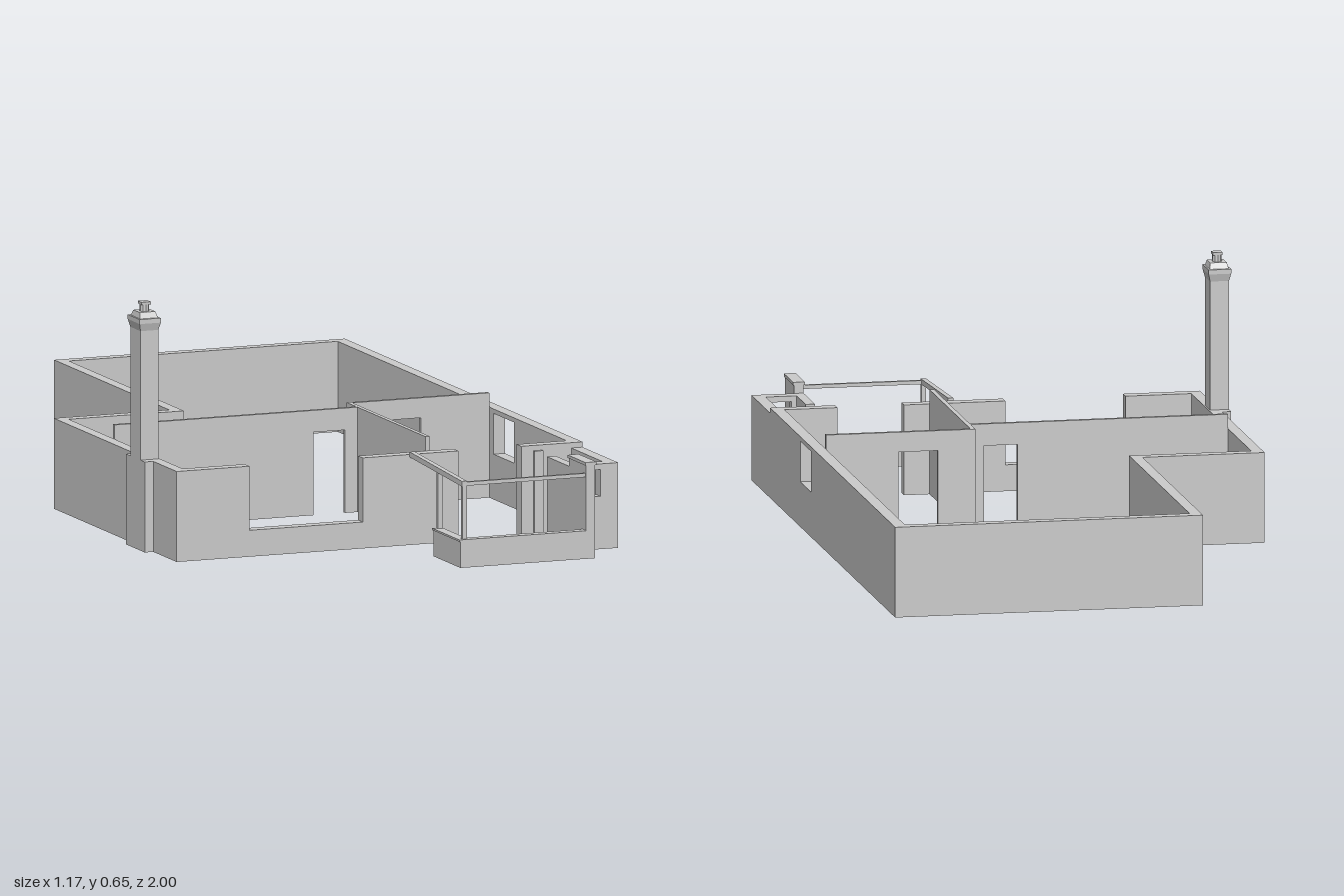
import * as THREE from 'three';

const material = new THREE.MeshStandardMaterial({ color: 0xcccccc, flatShading: true });

// Box given by its limits on each axis
function box(name, x0, x1, y0, y1, z0, z1) {
  const mesh = new THREE.Mesh(new THREE.BoxGeometry(x1 - x0, y1 - y0, z1 - z0), material);
  mesh.position.set((x0 + x1) / 2, (y0 + y1) / 2, (z0 + z1) / 2);
  mesh.name = name;
  return mesh;
}

// Upright wall from an outline (along, height), extruded from "start" by "depth"
function wall(name, outline, holes, start, depth, alongZ = false) {
  const toPoints = (list) => list.map(([a, b]) => new THREE.Vector2(alongZ ? -a : a, b));
  const shape = new THREE.Shape(toPoints(outline));
  for (const [a0, a1, b0, b1] of holes)
    shape.holes.push(new THREE.Path(toPoints([[a0, b0], [a0, b1], [a1, b1], [a1, b0]])));
  const geometry = new THREE.ExtrudeGeometry(shape, { depth, bevelEnabled: false });
  geometry.translate(0, 0, start);
  if (alongZ) geometry.rotateY(Math.PI / 2);
  const mesh = new THREE.Mesh(geometry, material);
  mesh.name = name;
  return mesh;
}

const rect = (a0, a1, h) => [[a0, 0], [a1, 0], [a1, h], [a0, h]];
// Wall outline with a doorway cut up from the floor
const doorway = (a0, a1, h, d0, d1, top) =>
  [[a0, 0], [d0, 0], [d0, top], [d1, top], [d1, 0], [a1, 0], [a1, h], [a0, h]];

// Straight beam of square section between two points
function beam(name, from, to, size) {
  const a = new THREE.Vector3(...from), b = new THREE.Vector3(...to);
  const mesh = new THREE.Mesh(new THREE.BoxGeometry(size, size, a.distanceTo(b)), material);
  mesh.position.copy(a).lerp(b, 0.5);
  mesh.lookAt(b);
  mesh.name = name;
  return mesh;
}

// Square frustum: bottom and top sizes in x and z
function taper(name, x, z, y0, y1, [w0, d0], [w1, d1]) {
  const geometry = new THREE.BoxGeometry(1, y1 - y0, 1);
  const p = geometry.attributes.position;
  for (let i = 0; i < p.count; i++) {
    const top = p.getY(i) > 0;
    p.setX(i, p.getX(i) * (top ? w1 : w0));
    p.setZ(i, p.getZ(i) * (top ? d1 : d0));
  }
  geometry.computeVertexNormals();
  const mesh = new THREE.Mesh(geometry, material);
  mesh.position.set(x, (y0 + y1) / 2, z);
  mesh.name = name;
  return mesh;
}

function createOuterWalls() {
  const group = new THREE.Group();
  group.name = 'outerWalls';
  const h = 0.24;
  group.add(
    box('backWall', -0.235, 0.585, 0, h, -1, -0.97),
    box('rearRightWall', -0.235, -0.205, 0, h, -0.97, -0.18),
    box('stepWall', -0.56, -0.235, 0, h, -0.21, -0.18),
    box('rightWall', -0.56, -0.53, 0, h, -0.18, 0.602),
    // long left wall with its window
    wall('leftWall', rect(-0.97, 0.602, h), [[0.1, 0.24, 0.12, 0.228]], 0.553, 0.032, true),
    // front wall with the wide low opening
    wall('frontWall', [[-0.56, 0], [0.235, 0], [0.235, h], [-0.035, h], [-0.035, 0.07],
      [-0.355, 0.07], [-0.355, h], [-0.56, h]], [], 0.602, 0.033),
    box('frontWallLeft', 0.412, 0.585, 0, h, 0.602, 0.635),
  );
  return group;
}

function createPartitions() {
  const group = new THREE.Group();
  group.name = 'partitions';
  const h = 0.278;
  group.add(
    wall('roomPartition', doorway(-0.53, 0.155, h, 0.03, 0.12, 0.22), [], 0.124, 0.012),
    box('middlePartition', 0.155, 0.167, 0, h, 0.072, 0.602),
    wall('hallPartition', doorway(0.155, 0.553, h, 0.255, 0.36, 0.225), [], 0.06, 0.012),
  );
  return group;
}

function createPorch() {
  const group = new THREE.Group();
  group.name = 'porch';
  const h = 0.226;
  group.add(
    // low parapet with a thin coping
    box('parapetFront', 0.092, 0.446, 0, 0.07, 0.978, 0.997),
    box('parapetSide', 0.092, 0.112, 0, 0.07, 0.812, 0.978),
    box('copingFront', 0.088, 0.446, 0.07, 0.075, 0.975, 1),
    box('copingSide', 0.088, 0.115, 0.07, 0.075, 0.812, 0.975),
    // side wall and tall end pier
    box('sideWall', 0.446, 0.471, 0, h, 0.73, 0.88),
    box('endPier', 0.446, 0.471, 0, 0.248, 0.88, 0.998),
    box('pierCap', 0.443, 0.474, 0.248, 0.256, 0.878, 1),
    // small annex beside the porch
    wall('annexFront', rect(0.471, 0.585, h), [[0.485, 0.535, 0.14, 0.211]], 0.847, 0.033),
    box('annexSide', 0.553, 0.585, 0, h, 0.635, 0.847),
    box('doorJamb', 0.446, 0.471, 0, h, 0.635, 0.643),
    // open timber frame
    beam('frontRail', [0.1, 0.221, 0.988], [0.446, 0.221, 0.988], 0.01),
    beam('slopingBeam', [0.104, 0.222, 0.994], [0.104, 0.24, 0.635], 0.014),
  );
  for (const z of [0.988, 0.82])
    group.add(box('post', 0.099, 0.111, 0.075, 0.224, z - 0.006, z + 0.006));
  return group;
}

function createChimney() {
  const group = new THREE.Group();
  group.name = 'chimney';
  const x = -0.559, z = 0.41;
  const pot = new THREE.Mesh(new THREE.CylinderGeometry(0.012, 0.013, 0.026, 10), material);
  pot.position.set(x, 0.64, z);
  pot.name = 'chimneyPot';
  group.add(
    box('chimneyBase', -0.584, -0.53, 0, 0.24, 0.345, 0.474),
    box('chimneyShaft', -0.584, -0.534, 0.24, 0.585, z - 0.035, z + 0.035),
    taper('chimneyFlare', x, z, 0.582, 0.602, [0.05, 0.07], [0.06, 0.082]),
    box('chimneyCollar', x - 0.03, x + 0.03, 0.602, 0.614, z - 0.041, z + 0.041),
    taper('chimneyCap', x, z, 0.614, 0.629, [0.05, 0.065], [0.044, 0.044]),
    pot,
    box('potRim', x - 0.013, x + 0.013, 0.647, 0.654, z - 0.013, z + 0.013),
  );
  return group;
}

export function createModel() {
  const model = new THREE.Group();
  model.name = 'houseShell';
  model.add(createOuterWalls(), createPartitions(), createPorch(), createChimney());
  return model;
}
